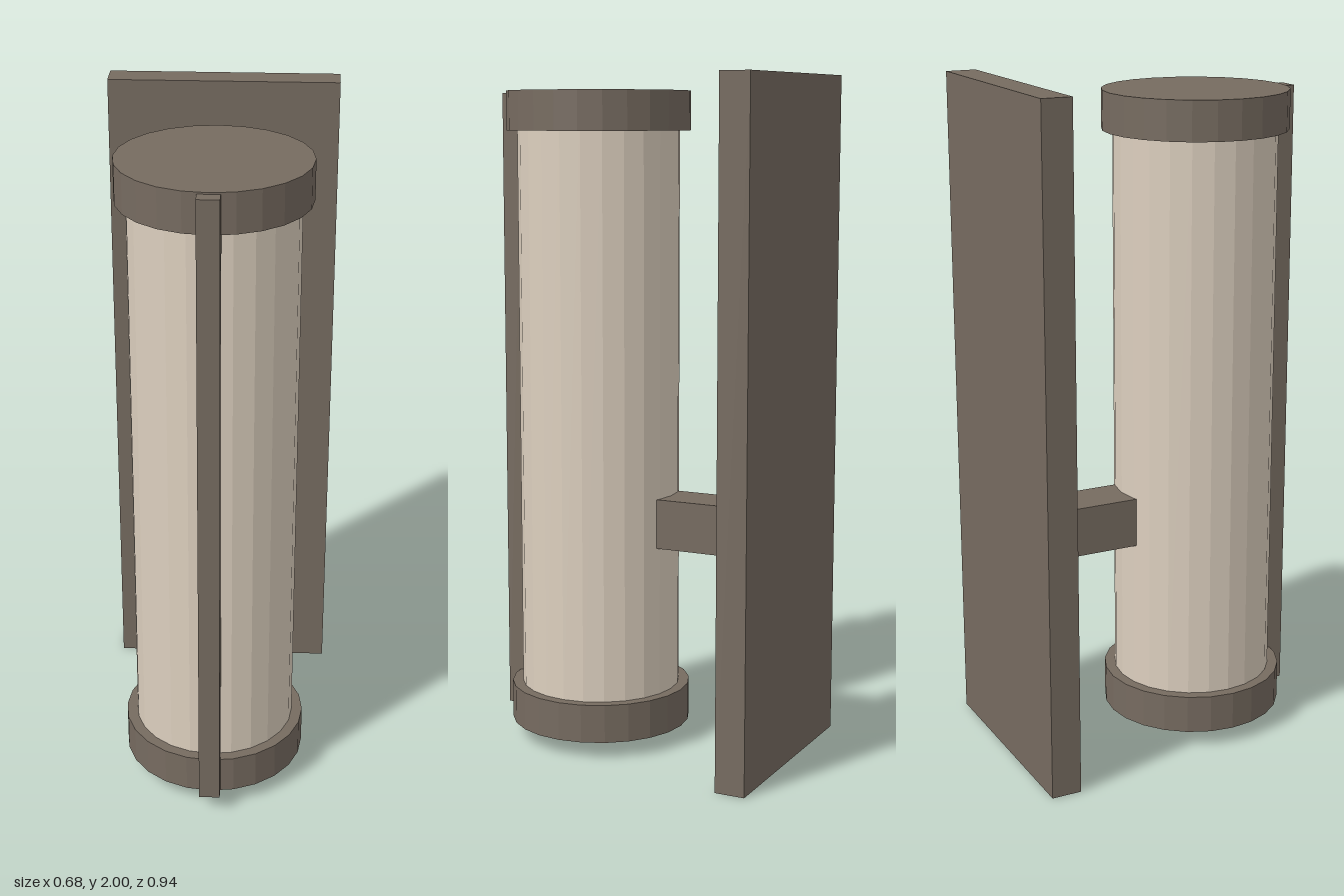
import * as THREE from 'three';

export function createModel() {
  const group = new THREE.Group();
  const bronze = new THREE.MeshStandardMaterial({ name: 'bronze', color: 0x766b60, flatShading: true });
  const glass = new THREE.MeshStandardMaterial({ name: 'frosted glass', color: 0xdccfbe, flatShading: true });
  const axisZ = 0.16; // centre line of the lamp tube

  const add = (name, geometry, material, x, y, z) => {
    const mesh = new THREE.Mesh(geometry, material);
    mesh.name = name;
    mesh.position.set(x, y, z);
    group.add(mesh);
  };

  // Box given by width and its y and z extents, centred on x
  const addBox = (name, width, y0, y1, z0, z1) =>
    add(name, new THREE.BoxGeometry(width, y1 - y0, z1 - z0), bronze, 0, (y0 + y1) / 2, (z0 + z1) / 2);

  // Upright 24-sided drum on the lamp axis
  const addDrum = (name, radius, y0, y1, material) =>
    add(name, new THREE.CylinderGeometry(radius, radius, y1 - y0, 24), material, 0, (y0 + y1) / 2, axisZ);

  // Wall plate and the arm reaching into the tube
  addBox('wallPlate', 0.68, 0, 2, -0.47, -0.38);
  addBox('supportArm', 0.147, 0.615, 0.763, -0.38, -0.03);

  // Glass tube between two end caps
  addDrum('glassShade', 0.24, 0.1, 1.9, glass);
  addDrum('bottomCap', 0.272, 0.05, 0.165, bronze);
  addDrum('topCap', 0.272, 1.84, 1.955, bronze);

  // Slim bar down the front
  addBox('frontBar', 0.062, 0.055, 1.95, 0.405, 0.47);

  return group;
}
